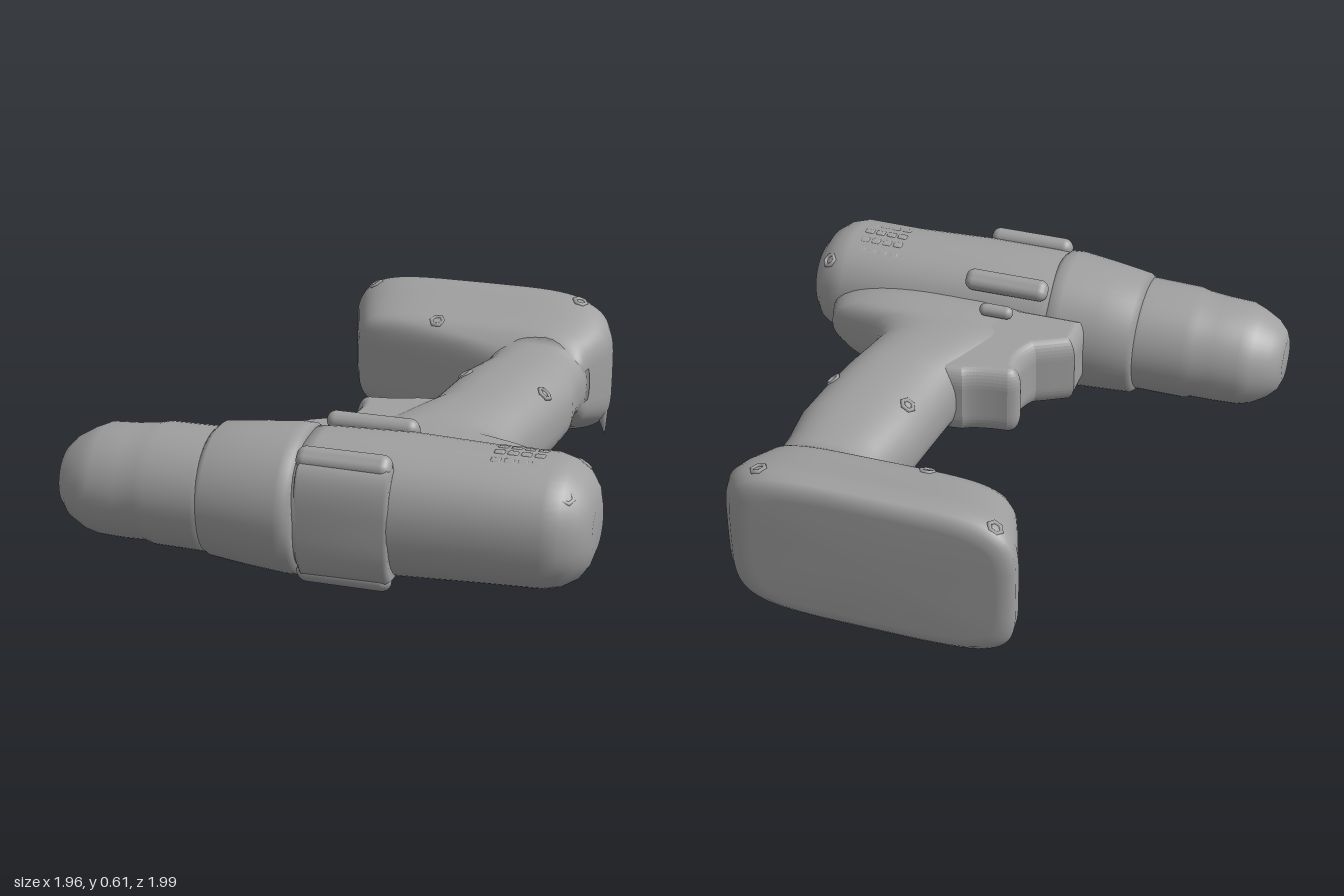
import * as THREE from 'three';
import { RoundedBoxGeometry } from 'three/addons/geometries/RoundedBoxGeometry.js';

const grey = new THREE.MeshStandardMaterial({ color: 0xa0a0a0 });

// Skin of superellipse sections [t, aMin, aMax, bMin, bMax] along x (a=y, b=z) or z (a=x, b=y), t rising.
function loft(rows, axis, power = 2, sides = 48) {
  const pos = [], idx = [];
  const mid = (r) => [r[0], (r[1] + r[2]) / 2, (r[1] + r[2]) / 2, (r[3] + r[4]) / 2, (r[3] + r[4]) / 2];
  const all = [mid(rows[0]), ...rows, mid(rows[rows.length - 1])];
  const bend = (v) => Math.sign(v) * Math.pow(Math.abs(v), 2 / power);
  all.forEach(([t, a0, a1, b0, b1], i) => {
    for (let j = 0; j < sides; j++) {
      const q = (j / sides) * Math.PI * 2;
      const a = (a0 + a1) / 2 + ((a1 - a0) / 2) * bend(Math.cos(q));
      const b = (b0 + b1) / 2 + ((b1 - b0) / 2) * bend(Math.sin(q));
      pos.push(...(axis === 'x' ? [t, a, b] : [a, b, t]));
      if (i === all.length - 1) continue;
      const p = i * sides + j, n = i * sides + ((j + 1) % sides);
      idx.push(p, n, p + sides, n, n + sides, p + sides);
    }
  });
  const g = new THREE.BufferGeometry();
  g.setAttribute('position', new THREE.Float32BufferAttribute(pos, 3));
  g.setIndex(idx);
  g.computeVertexNormals();
  return g;
}

export function createModel() {
  const root = new THREE.Group();
  const add = (name, geo, x = 0, y = 0, z = 0, rx = 0, rz = 0) => {
    const m = new THREE.Mesh(geo, grey);
    m.name = name;
    m.position.set(x, y, z);
    m.rotation.set(rx, 0, rz);
    root.add(m);
  };

  // Chuck with a blunt rounded nose
  add('chuck', loft([
    [-0.98, 0.23, 0.40, 0.64, 0.80], [-0.965, 0.19, 0.43, 0.60, 0.84],
    [-0.93, 0.155, 0.465, 0.56, 0.88], [-0.87, 0.12, 0.50, 0.525, 0.91],
    [-0.82, 0.108, 0.522, 0.508, 0.925], [-0.72, 0.105, 0.528, 0.503, 0.928],
    [-0.64, 0.108, 0.537, 0.495, 0.932], [-0.60, 0.098, 0.547, 0.487, 0.942],
    [-0.42, 0.098, 0.55, 0.487, 0.95], [-0.36, 0.098, 0.55, 0.487, 0.95],
  ], 'x'));

  // Torque collar, slightly wider than the chuck
  add('collar', loft([
    [-0.41, 0.10, 0.55, 0.49, 0.945], [-0.385, 0.082, 0.572, 0.462, 0.955],
    [-0.25, 0.07, 0.59, 0.457, 0.975], [-0.10, 0.06, 0.607, 0.45, 0.992],
    [-0.06, 0.062, 0.605, 0.452, 0.988], [-0.035, 0.085, 0.585, 0.47, 0.965],
  ], 'x'));

  // Motor housing
  add('motorHousing', loft([
    [-0.08, 0.085, 0.585, 0.47, 0.965], [0.0, 0.09, 0.595, 0.465, 0.965],
    [0.3, 0.105, 0.602, 0.46, 0.95], [0.6, 0.12, 0.59, 0.46, 0.945],
    [0.82, 0.13, 0.592, 0.465, 0.943], [0.88, 0.145, 0.575, 0.48, 0.925],
    [0.93, 0.175, 0.54, 0.51, 0.89], [0.96, 0.22, 0.495, 0.55, 0.85],
    [0.975, 0.27, 0.44, 0.60, 0.80],
  ], 'x', 2.2));

  // Grip, flaring into the housing and into the battery foot
  add('grip', loft([
    [-0.66, 0.20, 0.67, 0.13, 0.52], [-0.61, 0.245, 0.662, 0.16, 0.492],
    [-0.57, 0.25, 0.658, 0.167, 0.485], [-0.50, 0.24, 0.655, 0.165, 0.49],
    [-0.35, 0.20, 0.665, 0.155, 0.505], [-0.20, 0.185, 0.645, 0.15, 0.512],
    [0.0, 0.16, 0.61, 0.155, 0.513], [0.10, 0.10, 0.59, 0.16, 0.51],
    [0.22, 0.03, 0.57, 0.165, 0.505], [0.28, -0.02, 0.59, 0.17, 0.50],
    [0.32, -0.05, 0.64, 0.175, 0.495], [0.345, -0.08, 0.77, 0.18, 0.492],
    [0.38, -0.12, 0.82, 0.185, 0.49], [0.44, -0.18, 0.84, 0.18, 0.49],
    [0.60, -0.20, 0.88, 0.20, 0.48],
  ], 'z', 2.5));

  // Trigger and the hooked shoulder beside it, with well rounded edges
  const tri = new THREE.Shape();
  tri.moveTo(0.32, 0.0);
  tri.lineTo(0.14, 0.02);
  tri.quadraticCurveTo(0.10, 0.05, -0.03, 0.062);
  tri.quadraticCurveTo(-0.075, 0.08, -0.045, 0.12);
  tri.quadraticCurveTo(-0.02, 0.20, -0.07, 0.28);
  tri.quadraticCurveTo(-0.13, 0.31, -0.20, 0.35);
  tri.lineTo(-0.20, 0.50);
  tri.lineTo(0.32, 0.50);
  const triggerGeo = new THREE.ExtrudeGeometry(tri, {
    depth: 0.13, bevelSize: 0.045, bevelOffset: -0.03, bevelThickness: 0.08, bevelSegments: 8, curveSegments: 12,
  });
  add('trigger', triggerGeo, 0, 0.40, 0, Math.PI / 2);

  // Battery foot with a broad flat base
  add('batteryFoot', loft([
    [-1.0, -0.33, 0.58, 0.07, 0.545], [-0.992, -0.37, 0.63, 0.03, 0.585],
    [-0.97, -0.395, 0.67, 0.005, 0.606], [-0.92, -0.39, 0.705, 0.0, 0.608],
    [-0.86, -0.37, 0.725, 0.025, 0.59], [-0.78, -0.345, 0.715, 0.065, 0.562],
    [-0.70, -0.315, 0.68, 0.095, 0.54], [-0.665, -0.29, 0.665, 0.11, 0.53],
    [-0.64, -0.18, 0.66, 0.14, 0.51], [-0.61, 0.08, 0.655, 0.175, 0.48],
    [-0.57, 0.30, 0.62, 0.22, 0.43],
  ], 'z', 4.5, 72));

  // Pointed latch tab at the back corner of the foot
  const tab = new THREE.ConeGeometry(0.032, 0.14, 16);
  tab.rotateX(Math.PI);
  add('latchTab', tab, 0.695, 0.10, -0.85, 0, 0.15);

  // Four rails around the housing, and a softly raised panel between the front pair
  for (const [y, z, tilt] of [[0.56, 0.875, 0.75], [0.135, 0.885, -0.75], [0.13, 0.53, 0.75], [0.56, 0.53, -0.75]])
    add('rail', new RoundedBoxGeometry(0.34, 0.07, 0.085, 4, 0.034), 0.125, y, z, tilt);
  add('frontPanel', loft([
    [-0.035, 0.14, 0.55, 0.76, 0.95], [-0.02, 0.12, 0.57, 0.75, 0.967],
    [0.285, 0.12, 0.57, 0.75, 0.962], [0.30, 0.14, 0.55, 0.76, 0.945],
  ], 'x', 2.8));

  // Direction switch passing through the grip
  const knob = new THREE.CapsuleGeometry(0.026, 0.085, 6, 16);
  knob.rotateZ(Math.PI / 2);
  for (const y of [0.165, 0.51]) add('directionSwitch', knob, 0.13, y, 0.41);

  // Low vent slats on both flanks of the motor housing
  for (const side of [1, -1])
    for (let r = 0; r < 5; r++)
      for (let c = 0; c < 4; c++) {
        const q = (r - 2) * 0.24;
        add('ventSlat', new RoundedBoxGeometry(0.04, 0.02, 0.034, 2, 0.009),
          0.627 + c * 0.047, 0.357 + side * 0.228 * Math.cos(q), 0.70 + 0.237 * Math.sin(q), side * q);
      }

  // Screw sockets: [x, y, z, tilt about x, tilt about z]
  const ring = new THREE.TorusGeometry(0.025, 0.009, 8, 6);
  ring.rotateX(Math.PI / 2);
  for (const [x, y, z, rx, rz] of [
    [-0.31, 0.563, -0.94, 0, 0.55], [0.57, 0.583, -0.91, 0.1, -0.3], [0.03, 0.526, -0.67, 0.45, 0],
    [0.26, 0.475, -0.25, 0, 0.6], [0.59, 0.463, -0.17, 0, -0.7],
    [0.89, 0.515, 0.55, -0.6, -0.5], [0.89, 0.515, 0.84, 0.6, -0.5],
  ]) add('screwSocket', ring, x, y, z, rx, rz);

  return root;
}
